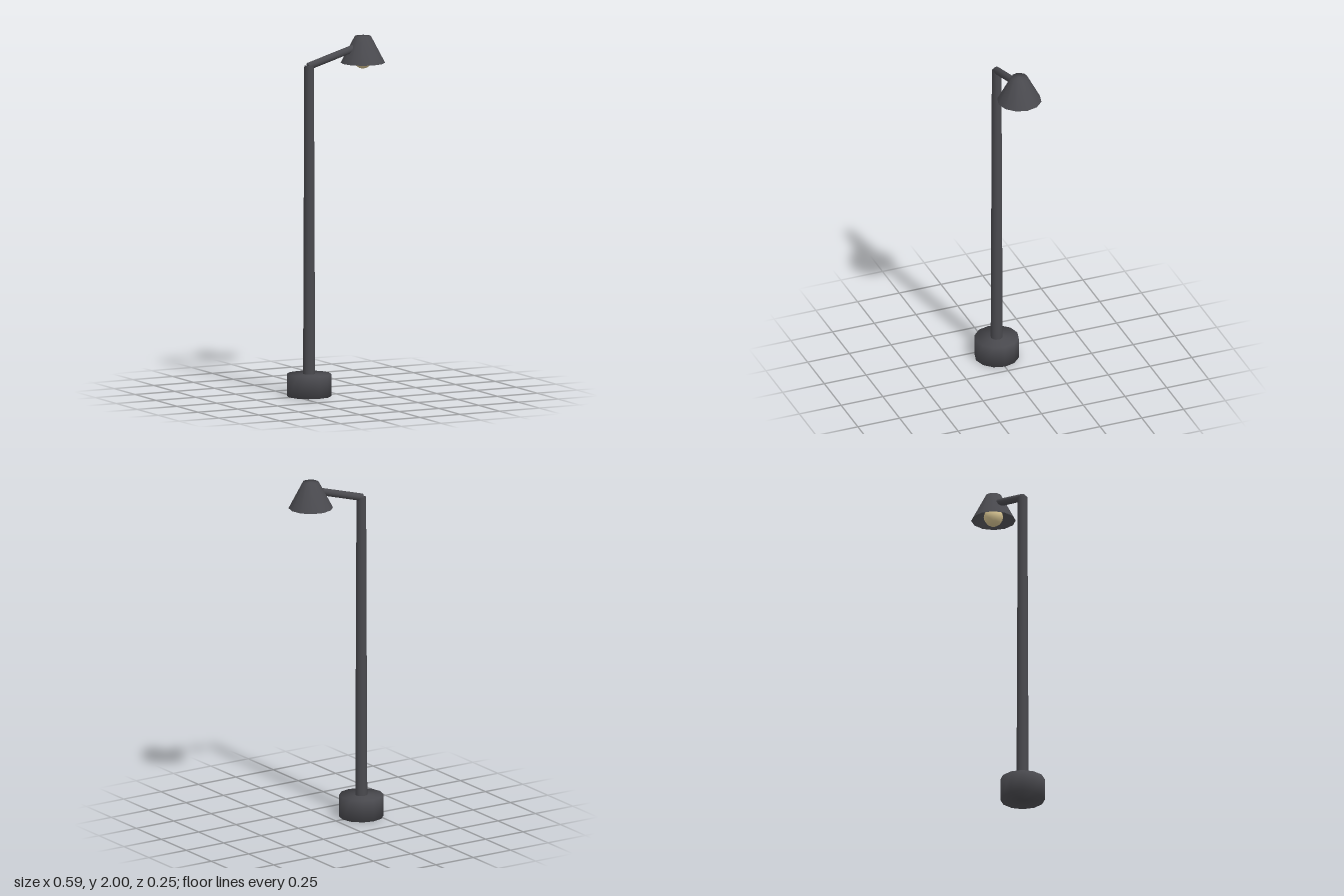
import * as THREE from 'three';
import { mergeVertices } from 'three/addons/utils/BufferGeometryUtils.js';

const SIDES = 12;
const POLE_X = -0.17;
const SHADE_X = 0.168;

// Weld a geometry so that its shading runs smoothly over the edges
function smooth(geometry) {
  geometry.deleteAttribute('uv');
  geometry.deleteAttribute('normal');
  const welded = mergeVertices(geometry, 1e-4);
  welded.computeVertexNormals();
  return welded;
}

export function createModel() {
  const metal = new THREE.MeshStandardMaterial({ color: 0x4a4a4f });
  metal.name = 'dark metal';
  const glow = new THREE.MeshStandardMaterial({ color: 0xd6c391 });
  glow.name = 'warm bulb';

  const model = new THREE.Group();
  model.name = 'streetLamp';

  function add(name, geometry, material, x = 0, y = 0) {
    const mesh = new THREE.Mesh(geometry, material);
    mesh.name = name;
    mesh.position.set(x, y, 0);
    model.add(mesh);
    return mesh;
  }

  // Drum base and tapered pole
  add('base', smooth(new THREE.CylinderGeometry(0.124, 0.124, 0.125, SIDES)), metal, POLE_X, 0.0625);
  add('pole', smooth(new THREE.CylinderGeometry(0.027, 0.034, 1.85, SIDES)), metal, POLE_X, 0.93);

  // Sloping arm from the pole top into the shade
  const from = new THREE.Vector3(POLE_X - 0.003, 1.853, 0);
  const to = new THREE.Vector3(0.15, 1.947, 0);
  const direction = to.clone().sub(from);
  const arm = add('arm', smooth(new THREE.CylinderGeometry(0.021, 0.021, direction.length(), SIDES)), metal);
  arm.position.copy(from).lerp(to, 0.5);
  arm.quaternion.setFromUnitVectors(new THREE.Vector3(0, 1, 0), direction.normalize());

  // Conical shade: outer skin, and an inner lining that meets it at the rim
  const outer = [[0.124, 1.85], [0.045, 2], [0, 2]];
  const inner = [[0, 1.985], [0.04, 1.985], [0.124, 1.85]];
  for (const [name, points] of [['shadeOuter', outer], ['shadeLining', inner]]) {
    const profile = points.map(([r, y]) => new THREE.Vector2(r, y));
    add(name, smooth(new THREE.LatheGeometry(profile, SIDES)), metal, SHADE_X);
  }

  // Bulb hanging just below the rim
  add('bulb', new THREE.SphereGeometry(0.054, SIDES, 8), glow, SHADE_X, 1.871);

  return model;
}
